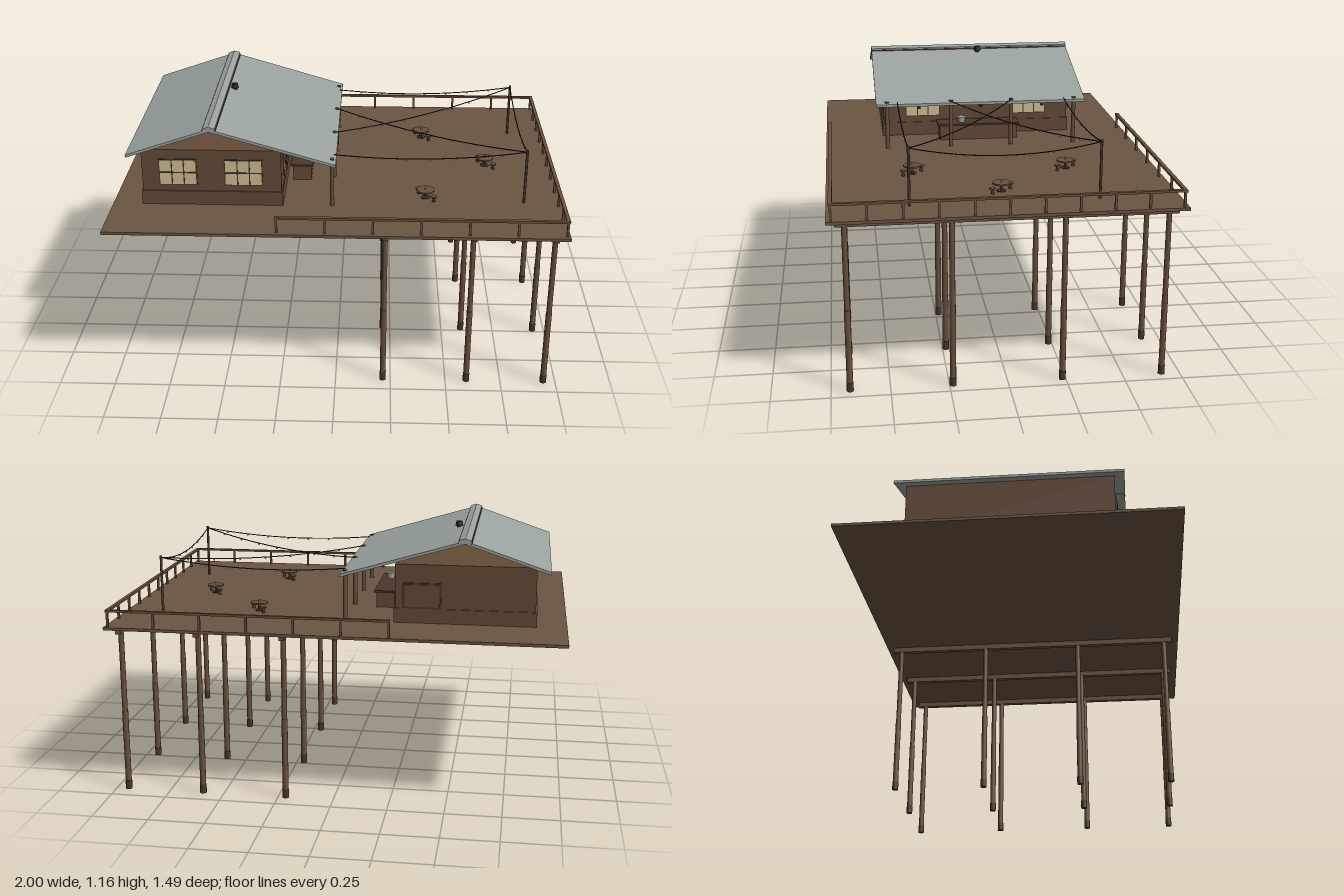
import * as THREE from 'three';

const mat = (name, color, extra = {}) => {
  const m = new THREE.MeshStandardMaterial({ color, ...extra });
  m.name = name;
  return m;
};

export function createModel() {
  const deckWood = mat('deck wood', 0x6b5543);
  const wallWood = mat('wall wood', 0x644b38);
  const postWood = mat('post wood', 0x6a513d);
  const darkWood = mat('dark wood', 0x493729);
  const metal = mat('roof metal', 0x9aa3a0);
  const glass = mat('window cream', 0xd2c096);
  const black = mat('black iron', 0x1c1e24);
  const steel = mat('pale steel', 0xa9b5b3);

  const model = new THREE.Group();
  model.name = 'stiltDeckHouse';
  const group = (name, parent = model) => {
    const g = new THREE.Group();
    g.name = name;
    parent.add(g);
    return g;
  };
  const add = (parent, name, geo, material, x = 0, y = 0, z = 0) => {
    const m = new THREE.Mesh(geo, material);
    m.name = name;
    m.position.set(x, y, z);
    parent.add(m);
    return m;
  };
  // Box given by its minimum and maximum on each axis
  const box = (parent, name, material, x0, x1, y0, y1, z0, z1) =>
    add(parent, name, new THREE.BoxGeometry(x1 - x0, y1 - y0, z1 - z0), material,
      (x0 + x1) / 2, (y0 + y1) / 2, (z0 + z1) / 2);
  // Upright round part from y0 to y1
  const rod = (parent, name, material, x, z, y0, y1, r, sides = 10, rTop = r) =>
    add(parent, name, new THREE.CylinderGeometry(rTop, r, y1 - y0, sides), material, x, (y0 + y1) / 2, z);

  const FLOOR = 0.775;

  // Deck on stilts
  const deck = group('deck');
  box(deck, 'deckFloor', deckWood, -1, 1, 0.762, FLOOR, -0.743, 0.743);
  for (const x of [0.215, 0.595, 0.945]) {
    box(deck, 'deckBeam', postWood, x - 0.012, x + 0.012, 0.737, 0.762, -0.71, 0.71);
    for (const z of [-0.67, -0.235, 0.235, 0.67]) {
      rod(deck, 'stilt', postWood, x, z, 0.37, 0.74, 0.012);
      rod(deck, 'stiltLower', postWood, x, z, 0.04, 0.37, 0.0135);
      rod(deck, 'stiltFoot', darkWood, x, z, 0, 0.04, 0.015);
    }
  }

  // Railing on three sides
  const railing = group('railing');
  const railPost = (x, z) => box(railing, 'railPost', postWood, x - 0.005, x + 0.005, FLOOR, 0.842, z - 0.005, z + 0.005);
  for (const z of [-0.722, 0.722]) {
    box(railing, 'sideRail', postWood, -0.255, 0.992, 0.84, 0.85, z - 0.008, z + 0.008);
    for (let i = 0; i <= 6; i++) railPost(-0.25 + i * 1.235 / 6, z);
  }
  box(railing, 'endRail', postWood, 0.977, 0.993, 0.84, 0.85, -0.73, 0.73);
  for (let i = 1; i < 10; i++) railPost(0.985, -0.722 + i * 0.1444);

  // House walls and the board base around them
  const house = group('house');
  box(house, 'walls', wallWood, -0.862, -0.245, FLOOR, 1.037, -0.458, 0.458);
  box(house, 'wallBase', wallWood, -0.868, -0.24, FLOOR, 0.84, -0.464, 0.464);
  box(house, 'backHatch', darkWood, -0.45, -0.28, 0.84, 0.955, -0.464, -0.458);
  box(house, 'backHatchPanel', wallWood, -0.442, -0.288, 0.848, 0.947, -0.468, -0.46);

  // Windows, made facing +z and turned into place
  const makeWindow = (x, z, turn) => {
    const w = group('window', house);
    const W = 0.16, H = 0.114;
    box(w, 'windowFrame', darkWood, -W / 2 - 0.005, W / 2 + 0.005, -H / 2 - 0.005, H / 2 + 0.005, 0, 0.004);
    box(w, 'windowPane', glass, -W / 2, W / 2, -H / 2, H / 2, 0.001, 0.006);
    for (const s of [-1, 1]) box(w, 'windowBar', darkWood, s * W / 6 - 0.0025, s * W / 6 + 0.0025, -H / 2, H / 2, 0.003, 0.009);
    box(w, 'windowBar', darkWood, -W / 2, W / 2, -0.0025, 0.0025, 0.003, 0.009);
    w.position.set(x, 0.931, z);
    w.rotation.y = turn;
  };
  for (const x of [-0.702, -0.412]) makeWindow(x, 0.458, 0);
  for (const z of [-0.265, 0.265]) makeWindow(-0.245, z, Math.PI / 2);

  // Folded roof sheet: a bent profile of given thickness, extruded along z
  const foldedSheet = (name, pts, t, depth, material) => {
    const shape = new THREE.Shape([
      ...pts.map(([x, y]) => new THREE.Vector2(x, y)),
      ...pts.slice().reverse().map(([x, y]) => new THREE.Vector2(x, y - t)),
    ]);
    const geo = new THREE.ExtrudeGeometry(shape, { depth, bevelEnabled: false });
    add(roof, name, geo, material, 0, 0, -depth / 2);
  };
  const roof = group('roof');
  foldedSheet('roofSheet', [[-0.922, 1.028], [-0.552, 1.153], [-0.004, 0.992]], 0.013, 1.004, metal);
  foldedSheet('ridgeCap', [[-0.578, 1.155], [-0.552, 1.164], [-0.524, 1.156]], 0.012, 1.006, metal);
  box(roof, 'ridgeSeam', darkWood, -0.526, -0.521, 1.138, 1.15, -0.502, 0.502);
  box(roof, 'ridgeSeam', darkWood, -0.581, -0.576, 1.138, 1.15, -0.502, 0.502);
  rod(roof, 'ventPipe', black, -0.497, -0.037, 1.08, 1.15, 0.011, 12);
  rod(roof, 'ventCap', black, -0.497, -0.037, 1.143, 1.163, 0.018, 12, 0.014);

  // Porch posts, with lamps below the eave
  const porch = group('porch');
  for (const z of [-0.45, -0.145, 0.145, 0.45]) rod(porch, 'porchPost', postWood, -0.022, z, FLOOR, 1.002, 0.01);
  for (const z of [-0.297, 0, 0.297]) rod(porch, 'porchLamp', black, -0.03, z, 0.962, 0.988, 0.009, 8, 0.005);

  // Serving counter with a basin
  const counter = group('counter');
  box(counter, 'counterBody', wallWood, -0.213, -0.128, FLOOR, 0.846, -0.19, 0.19);
  box(counter, 'counterTop', darkWood, -0.222, -0.118, 0.846, 0.855, -0.2, 0.2);
  rod(counter, 'basin', steel, -0.165, 0.08, 0.855, 0.882, 0.015, 14, 0.02);

  // Round tables with two stools each
  for (const [x, z] of [[0.396, -0.334], [0.396, 0.36], [0.69, -0.002]]) {
    const t = group('tableSet');
    rod(t, 'tableTop', postWood, x, z, 0.808, 0.815, 0.04, 16);
    rod(t, 'tableLeg', darkWood, x, z, FLOOR, 0.808, 0.006, 8);
    rod(t, 'tableFoot', darkWood, x, z, FLOOR, 0.779, 0.02, 12);
    rod(t, 'tableCandle', glass, x, z, 0.815, 0.828, 0.004, 8);
    for (const [dx, dz] of [[-0.029, -0.042], [0.036, 0.042]]) {
      rod(t, 'stoolSeat', postWood, x + dx, z + dz, 0.796, 0.802, 0.015, 12);
      rod(t, 'stoolLeg', darkWood, x + dx, z + dz, FLOOR, 0.796, 0.008, 8, 0.005);
    }
  }

  // Light poles and sagging light strings
  const lights = group('stringLights');
  for (const z of [-0.4, 0.4]) rod(lights, 'lightPole', darkWood, 0.835, z, FLOOR, 1.03, 0.006, 8);
  const bulb = new THREE.SphereGeometry(0.0045, 8, 6);
  const string = (a, b, sag) => {
    const p = new THREE.Vector3(...a), q = new THREE.Vector3(...b);
    const mid = p.clone().lerp(q, 0.5);
    mid.y -= sag * 2;
    const curve = new THREE.QuadraticBezierCurve3(p, mid, q);
    add(lights, 'lightWire', new THREE.TubeGeometry(curve, 20, 0.0025, 5), black);
    for (let i = 1; i < 8; i++) {
      const c = curve.getPoint(i / 8);
      add(lights, 'bulb', bulb, glass, c.x, c.y - 0.005, c.z);
    }
  };
  for (const s of [-1, 1]) {
    string([-0.015, 0.998, s * 0.4], [0.835, 1.022, s * 0.4], 0.027);
    string([-0.015, 0.998, s * 0.145], [0.835, 1.022, -s * 0.4], 0.027);
  }
  string([0.835, 1.022, -0.4], [0.835, 1.022, 0.4], 0.045);

  return model;
}
